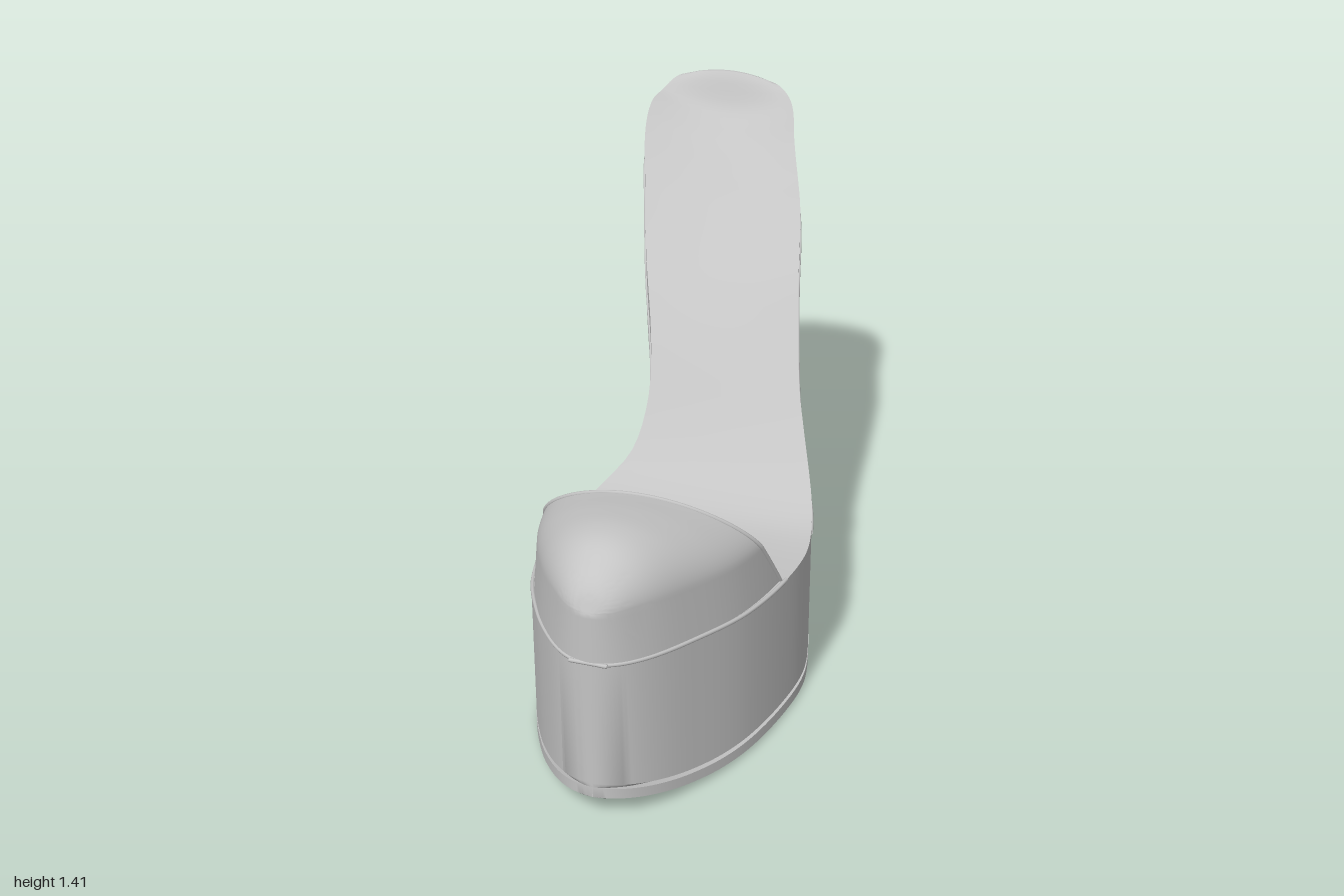
import * as THREE from 'three';
import { toCreasedNormals } from 'three/addons/utils/BufferGeometryUtils.js';

const grey = new THREE.MeshStandardMaterial({ color: 0xc4c4c4, side: THREE.DoubleSide });
grey.name = 'grey';
const { smoothstep } = THREE.MathUtils;

// Smooth interpolation through rows of [key, value, value...] with rising keys
function curve(rows) {
  return (k) => {
    let i = 0;
    while (i < rows.length - 2 && k > rows[i + 1][0]) i++;
    const a = rows[i], b = rows[i + 1], h = b[0] - a[0];
    const p = rows[i - 1] || a, n = rows[i + 2] || b;
    const t = Math.min(1, Math.max(0, (k - a[0]) / h)), t2 = t * t, t3 = t2 * t;
    return a.slice(1).map((_, m) => {
      const c = m + 1;
      const ta = (b[c] - p[c]) / (b[0] - p[0]) * h, tb = (n[c] - a[c]) / (n[0] - a[0]) * h;
      return (2 * t3 - 3 * t2 + 1) * a[c] + (t3 - 2 * t2 + t) * ta + (3 * t2 - 2 * t3) * b[c] + (t3 - t2) * tb;
    });
  };
}

// Skin between rings of [x, y, z] points
function skin(rings, closed, crease = 0.6) {
  const n = rings[0].length, idx = [];
  for (let i = 0; i < rings.length - 1; i++) {
    for (let j = 0; j < (closed ? n : n - 1); j++) {
      const k = (j + 1) % n, a = i * n + j, b = i * n + k, c = a + n, d = b + n;
      idx.push(a, c, b, b, c, d);
    }
  }
  const g = new THREE.BufferGeometry();
  g.setAttribute('position', new THREE.Float32BufferAttribute(rings.flat(2), 3));
  g.setIndex(idx);
  return toCreasedNormals(g, crease);
}

// Footprint: z, centre x, squared half width
const plan = curve([
  [-1, -0.2, 0], [-0.96, -0.19, 0.14], [-0.9, -0.178, 0.208], [-0.8, -0.17, 0.24], [-0.6, -0.102, 0.247],
  [-0.4, -0.042, 0.238], [-0.2, 0.028, 0.228], [-0.1, 0.06, 0.24], [0, 0.075, 0.27], [0.1, 0.065, 0.315],
  [0.25, 0.05, 0.355], [0.4, 0.038, 0.352], [0.6, 0.03, 0.31], [0.8, 0.028, 0.218], [0.9, 0.03, 0.152],
  [1, 0.03, 0],
].map(([z, c, w]) => [z, c, w * w]));
const centre = (z) => plan(z)[0];
const width = (z) => Math.sqrt(Math.max(0, plan(z)[1]));

// Insole: rim height, dip of the middle, drop of the rim on the +x side
const top = curve([
  [-1, 1.31, 0, 0], [-0.98, 1.37, -0.01, 0], [-0.95, 1.385, -0.024, 0], [-0.9, 1.35, 0.04, 0],
  [-0.85, 1.33, 0.055, 0.02], [-0.8, 1.28, 0.045, 0.02], [-0.7, 1.205, 0.03, 0.02], [-0.6, 1.135, 0.025, 0.01],
  [-0.4, 0.99, 0.02, 0.01], [-0.3, 0.9, 0.015, 0.03], [-0.2, 0.79, 0.01, 0.04], [-0.1, 0.66, 0.01, 0.02],
  [0, 0.55, 0.01, 0], [0.1, 0.485, 0.01, 0], [0.2, 0.46, 0.01, 0], [0.4, 0.455, 0.005, 0],
  [0.6, 0.465, 0, 0], [0.8, 0.485, 0, 0], [1, 0.5, 0, 0],
]);
// Underside height
const base = curve([
  [-1, 1.26], [-0.9, 1.19], [-0.8, 1.12], [-0.7, 1.045], [-0.6, 0.985], [-0.5, 0.915], [-0.4, 0.825], [-0.3, 0.71],
  [-0.2, 0.57], [-0.15, 0.49], [-0.1, 0.38], [-0.05, 0.24], [0, 0.12], [0.05, 0.05], [0.1, 0.015],
  [0.16, 0.002], [0.5, 0], [0.7, 0.006], [0.8, 0.018], [0.9, 0.04], [1, 0.068],
]);
const bottom = (z) => base(z)[0];

// Lofted body between two z limits with the shoe's footprint
function slab(z0, z1, grow, topAt, botAt, bevel) {
  const rings = [], n = 14;
  for (let i = 0; i <= 110; i++) {
    const z = (z0 + z1) / 2 + (z1 - z0) / 2 * Math.cos(Math.PI * i / 110);
    const c = centre(z), w = width(z) + grow, [t, dip, tilt] = topAt(z), b = botAt(z), ring = [];
    for (let j = 0; j <= n; j++) {
      const u = j / n * 2 - 1;
      ring.push([c + w * u, b + bevel * u ** 8, z]);
    }
    for (let j = 0; j <= n; j++) {
      const u = 1 - j / n * 2;
      ring.push([c + w * u, t - dip * (1 - u * u) - tilt * (u + 1) / 2, z]);
    }
    rings.push(ring);
  }
  return skin(rings, true);
}

function createModel() {
  const shoe = new THREE.Group();
  shoe.name = 'platformShoe';
  const add = (name, geometry, parent = shoe) => {
    const m = new THREE.Mesh(geometry, grey);
    m.name = name;
    parent.add(m);
    return m;
  };
  const tube = (name, pts, r) =>
    add(name, new THREE.TubeGeometry(new THREE.CatmullRomCurve3(pts), pts.length * 3, r, 8));

  // Platform, shank and insole in one body; its bevelled lower edge leaves a groove above the sole
  const lift = (z) => smoothstep(z, -0.95, -0.7) * (0.02 + 0.018 * smoothstep(z, -0.05, 0.15));
  add('platformAndInsole', slab(-1, 1, 0, top, (z) => bottom(z) + lift(z), 0.014));
  add('outsole', slab(-0.74, 1, 0.001, (z) => [bottom(z) + 0.039, 0, 0], (z) => bottom(z) + 0.006, 0.002));

  // Chevron tread ribs
  const tread = new THREE.Group();
  tread.name = 'tread';
  shoe.add(tread);
  for (const side of [-1, 1]) {
    for (let i = 0; i < 10; i++) {
      const z0 = 0.86 - i * 0.073;
      let len = 0;
      while (len < 0.4 && z0 - len * 0.5 > 0.13 && len + 0.07 < width(z0 - len * 0.5)) len += 0.01;
      if (len < 0.04) continue;
      const zb = z0 - len * 0.5;
      const a = new THREE.Vector3(0.035 + side * 0.025, bottom(z0) + 0.006, z0);
      const b = new THREE.Vector3(0.035 + side * (0.025 + len), bottom(zb) + 0.006, zb);
      const rib = add('treadRib', new THREE.BoxGeometry(0.018, 0.012, a.distanceTo(b)), tread);
      rib.position.copy(a).add(b).multiplyScalar(0.5);
      rib.lookAt(b);
    }
  }

  // Stiletto heel: y, centre z, depth radius, width radius, backward rise
  const heelAt = curve([
    [0.06, -0.818, 0.048, 0.048, 0], [0.3, -0.82, 0.055, 0.056, 0], [0.6, -0.818, 0.067, 0.07, 0],
    [0.8, -0.82, 0.08, 0.085, 0], [0.9, -0.829, 0.097, 0.1, 0.03], [0.98, -0.831, 0.124, 0.128, 0.12],
    [1.05, -0.817, 0.162, 0.172, 0.27], [1.11, -0.795, 0.195, 0.214, 0.42], [1.17, -0.79, 0.208, 0.24, 0.48],
  ]);
  const heelRings = [];
  for (let i = 0; i <= 48; i++) {
    const y = 0.06 + 1.11 * i / 48, [zc, rz, rx, rise] = heelAt(y), ring = [];
    for (let j = 0; j < 48; j++) {
      // The front half squares off towards the top to meet the shank
      const a = j / 48 * Math.PI * 2, dz = rz * Math.sin(a), cos = Math.cos(a);
      const across = Math.sign(cos) * Math.abs(cos) ** (dz > 0 ? 1 - rise * 0.9 : 1);
      ring.push([-0.17 + rx * across + dz * rise * 0.5, y - dz * rise, zc + dz]);
    }
    heelRings.push(ring);
  }
  add('heel', skin(heelRings, true, 1));
  const tip = add('heelTip', new THREE.CylinderGeometry(0.048, 0.046, 0.008, 32));
  tip.position.set(-0.17, 0.06, -0.818);
  const pin = add('heelPin', new THREE.TorusGeometry(0.012, 0.003, 8, 20));
  pin.rotation.x = Math.PI / 2;
  pin.position.set(-0.17, 0.056, -0.818);

  // Welt along the shank and round the back of the heel, and a lip round the platform's front edge
  const weltY = curve([[-1, 1.265], [-0.8, 1.175], [-0.6, 1.065], [-0.4, 0.92], [-0.3, 0.825], [-0.2, 0.71],
    [-0.1, 0.59], [0, 0.5], [0.1, 0.46], [0.15, 0.455]]);
  const welt = [], lip = [];
  for (let i = 0; i <= 80; i++) {
    const a = Math.PI * i / 80, side = i < 40 ? 1 : -1;
    const zw = Math.max(0.15 - 1.15 * Math.sin(a), -0.996), zl = Math.min(0.4 + 0.6 * Math.sin(a), 0.996);
    welt.push(new THREE.Vector3(centre(zw) + side * width(zw), weltY(zw)[0], zw));
    lip.push(new THREE.Vector3(centre(zl) + side * (width(zl) - 0.004), top(zl)[0] - 0.004, zl));
  }
  tube('welt', welt, 0.005);
  tube('platformLip', lip, 0.006);

  // Small eyelet on the heel cup
  const eyelet = add('eyelet', new THREE.TorusGeometry(0.028, 0.007, 8, 24));
  eyelet.scale.set(0.8, 1.3, 1);
  eyelet.position.set(centre(-0.962) + width(-0.962), 1.31, -0.962);
  eyelet.rotation.set(0, 2.35, -0.4);

  // Toe cap: upright wall, then a dome, with a slanted opening
  const ridge = curve([[0.4, 0.74], [0.6, 0.765], [0.7, 0.78], [0.8, 0.787], [0.88, 0.772], [0.95, 0.725], [0.98, 0.69], [1, 0.645]]);
  const capPoint = (s, z, inset) => {
    const wall = 0.6 + 0.045 * smoothstep(z, 0.5, 1);
    const c = centre(z), w = Math.max(0, width(z) - inset), k = Math.abs(s), foot = top(z)[0] - 0.01;
    const lean = 0.012 * Math.min(1, w * 8);
    if (k > 0.6) {
      const t = (1 - k) / 0.4;
      return [c + Math.sign(s) * (w - lean * t), foot + (wall - foot) * t, z];
    }
    const a = k / 0.6 * Math.PI / 2;
    const x = Math.max(0, w - lean) * Math.sin(a);
    return [c + Math.sign(s) * x, wall + (ridge(z)[0] - wall) * Math.cos(a) ** 1.1, z];
  };
  const capRings = [];
  for (let i = 0; i <= 40; i++) {
    const v = Math.cos(i / 40 * Math.PI / 2), ring = [];
    for (let j = 0; j <= 60; j++) {
      const s = 1 - j / 30, z0 = 0.41 + (capPoint(s, 0.58, 0)[1] - 0.455) * 0.6;
      ring.push(capPoint(s, z0 + (1 - z0) * v, 0.014 * (1 - v)));
    }
    capRings.push(ring);
  }
  add('toeCap', skin(capRings, false, 0.5));
  tube('toeCapRim', capRings[40].map((p) => new THREE.Vector3(...p)), 0.006);

  return shoe;
}

export { createModel };
